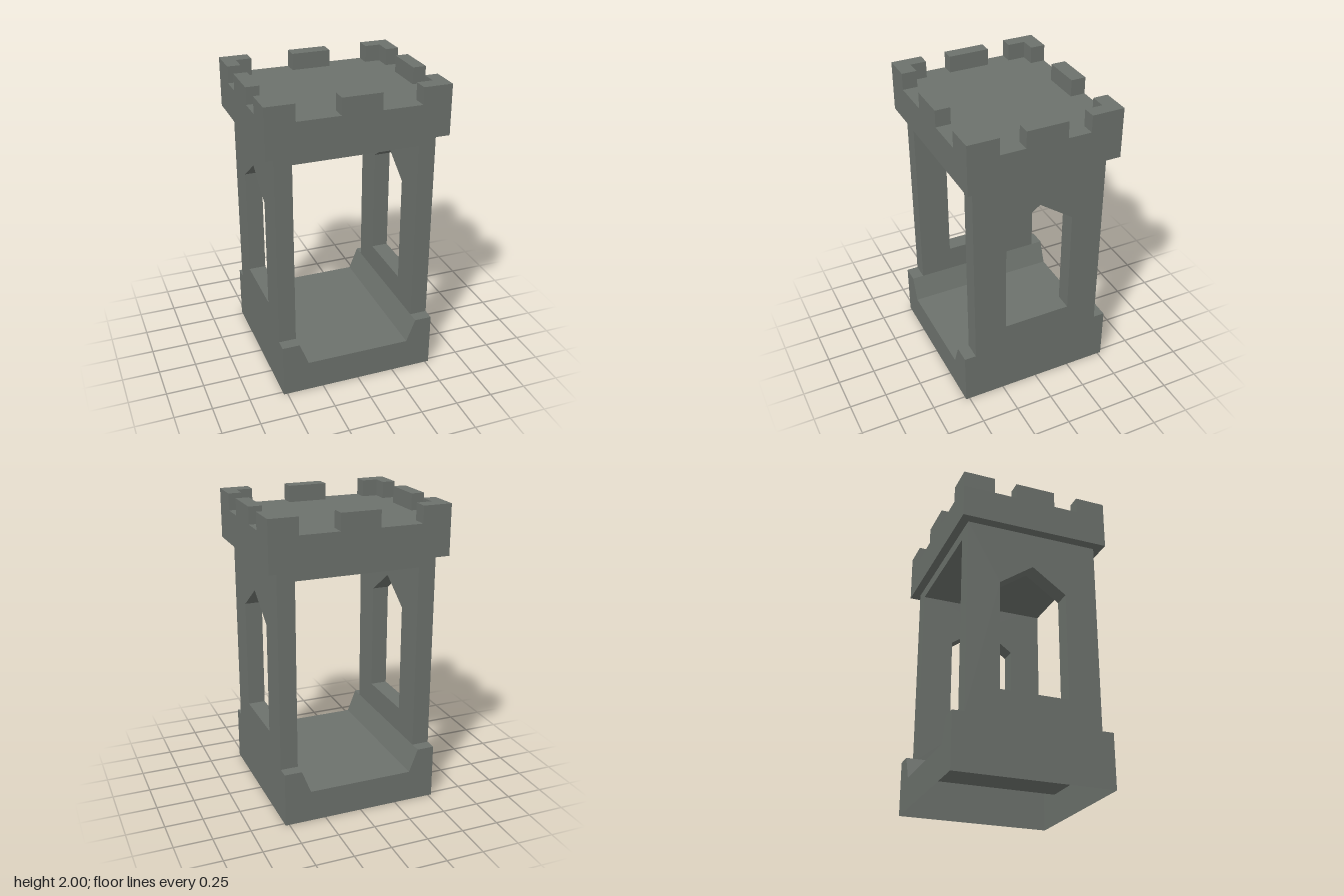
import * as THREE from 'three';

const stone = new THREE.MeshStandardMaterial({ color: 0x6c716c, side: THREE.DoubleSide, flatShading: true });
stone.name = 'grey stone';

function add(parent, name, geometry) {
  const mesh = new THREE.Mesh(geometry, stone);
  mesh.name = name;
  parent.add(mesh);
  return mesh;
}

// Box given by its limits on each axis
function block(parent, name, [x0, x1], [y0, y1], [z0, z1]) {
  const g = new THREE.BoxGeometry(x1 - x0, y1 - y0, z1 - z0);
  g.translate((x0 + x1) / 2, (y0 + y1) / 2, (z0 + z1) / 2);
  return add(parent, name, g);
}

const polygon = (pts) => new THREE.Shape(pts.map(([x, y]) => new THREE.Vector2(x, y)));

// Thin skin: a polyline in x,y swept along z
function sweptSkin(pts, halfDepth) {
  const pos = [];
  for (let i = 0; i < pts.length - 1; i++) {
    const [a, b] = [pts[i], pts[i + 1]];
    pos.push(...a, -halfDepth, ...a, halfDepth, ...b, halfDepth);
    pos.push(...a, -halfDepth, ...b, halfDepth, ...b, -halfDepth);
  }
  const g = new THREE.BufferGeometry();
  g.setAttribute('position', new THREE.Float32BufferAttribute(pos, 3));
  g.computeVertexNormals();
  return g;
}

export function createModel() {
  const tower = new THREE.Group();
  tower.name = 'tower';

  const B = 0.525;        // half width of base and walls
  const baseTop = 0.365;
  const innerX = 0.41;    // inner face of side walls
  const wallZ = 0.447;    // half depth of side walls
  const crownBottom = 1.67;

  // Hollow base, open underneath, with a trough running front to back
  const base = new THREE.Group();
  base.name = 'base';
  tower.add(base);
  const outline = [
    [-B, 0], [-B, baseTop], [-innerX, baseTop], [-0.35, 0.21],
    [0.35, 0.21], [innerX, baseTop], [B, baseTop], [B, 0],
  ];
  add(base, 'baseSkin', sweptSkin(outline, B));
  for (const s of [1, -1]) {
    const plate = add(base, s > 0 ? 'baseFront' : 'baseBack', new THREE.ShapeGeometry(polygon(outline)));
    plate.position.z = s * B;
    if (s < 0) plate.rotation.y = Math.PI;
  }

  // Side walls with pointed windows
  const wall = polygon([[-wallZ, baseTop], [wallZ, baseTop], [wallZ, crownBottom], [-wallZ, crownBottom]]);
  wall.holes.push(polygon([[-0.228, 0.54], [-0.228, 1.27], [0, 1.43], [0.228, 1.27], [0.228, 0.54]]));
  for (const s of [1, -1]) {
    const g = new THREE.ExtrudeGeometry(wall, { depth: B - innerX, bevelEnabled: false });
    g.rotateY(Math.PI / 2);
    g.translate(s > 0 ? innerX : -B, 0, 0);
    add(tower, s > 0 ? 'leftWall' : 'rightWall', g);
  }

  // Ceiling slab, showing as a lintel front and back
  block(tower, 'ceiling', [-innerX, innerX], [1.6, crownBottom], [-wallZ, wallZ]);

  // Overhanging crown with battlements
  const X = 0.59, Z = 0.503, deck = 1.89;
  const inX = 0.503, inZ = 0.405;   // inner faces of the battlements
  const crown = new THREE.Group();
  crown.name = 'crown';
  tower.add(crown);
  block(crown, 'crownBlock', [-X, X], [crownBottom, deck], [-Z, Z]);

  const span = (s, a, b) => (s > 0 ? [a, b] : [-b, -a]);
  const h = [deck, 2];
  for (const s of [1, -1]) {
    block(crown, 'endMerlon', [-0.12, 0.14], h, span(s, inZ, Z));
    block(crown, 'sideMerlon', span(s, inX, X), h, [-0.137, 0.135]);
    // L-shaped corners
    for (const t of [1, -1]) {
      block(crown, 'cornerMerlon', span(s, 0.4, X), h, span(t, inZ, Z));
      block(crown, 'cornerMerlonReturn', span(s, inX, X), h, span(t, t > 0 ? 0.3 : 0.29, inZ));
    }
  }

  return tower;
}
